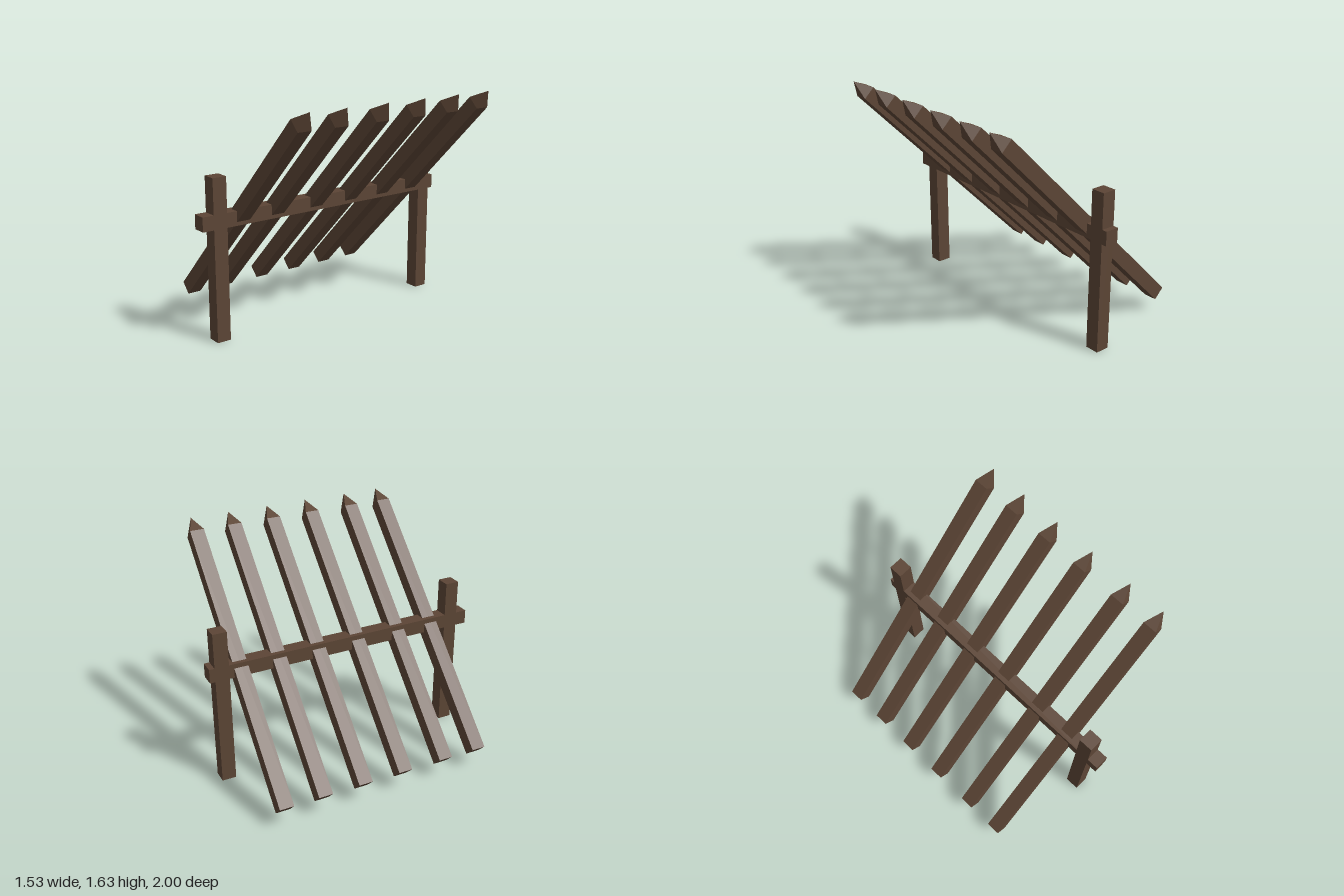
import * as THREE from 'three';

const WIDTH = 0.1; // all timbers share one square section
const FRAME_X = -0.03;

export function createModel() {
  const group = new THREE.Group();
  const wood = new THREE.MeshStandardMaterial({ color: 0x5c4535, flatShading: true });

  const add = (name, geometry, x, y, z) => {
    const mesh = new THREE.Mesh(geometry, wood);
    mesh.name = name;
    mesh.position.set(x, y, z);
    group.add(mesh);
    return mesh;
  };

  // Upright posts
  const postHeight = 1.13;
  const postGeometry = new THREE.BoxGeometry(WIDTH, postHeight, WIDTH);
  add('frontPost', postGeometry, FRAME_X, postHeight / 2, 0.868);
  add('backPost', postGeometry, FRAME_X, postHeight / 2, -0.912);

  // Crossbeam running through both posts
  add('crossbeam', new THREE.BoxGeometry(WIDTH, WIDTH, 2), FRAME_X, 0.835, 0);

  // Square stake with a pyramid point, turned so its sides face the axes
  const radius = WIDTH / Math.SQRT2;
  const shaft = 1.994;
  const profile = [[0, 0], [radius, 0], [radius, shaft], [0, shaft + 0.122]]
    .map(([r, y]) => new THREE.Vector2(r, y));
  const stakeGeometry = new THREE.LatheGeometry(profile, 4).rotateY(Math.PI / 4);

  // Row of stakes leaning over the crossbeam
  [0.695, 0.422, 0.1, -0.205, -0.5, -0.777].forEach((z, i) => {
    const stake = add(`stake${i + 1}`, stakeGeometry, -0.732, 0.13, z);
    stake.rotation.z = -Math.PI / 4;
  });

  return group;
}
